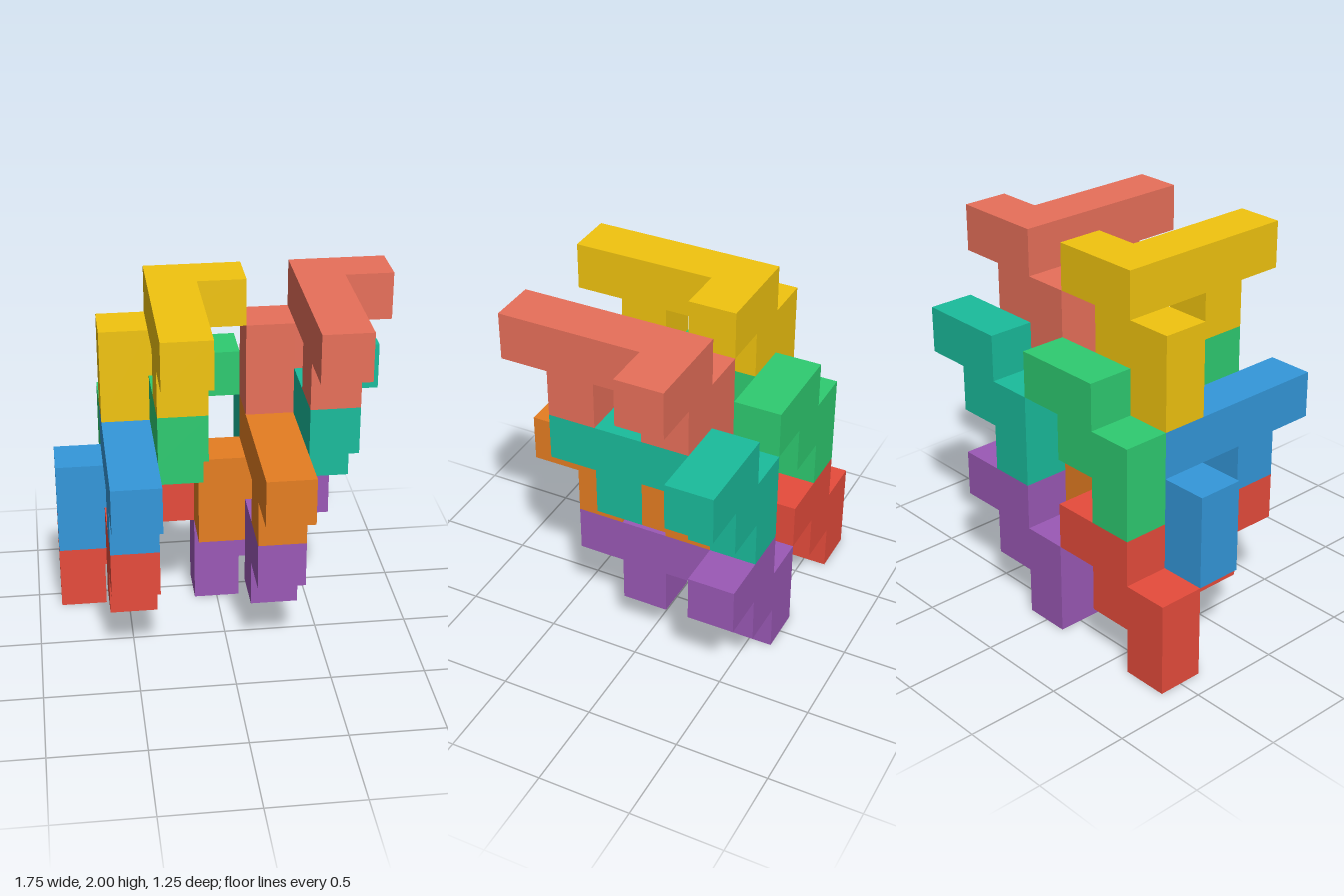
import * as THREE from 'three';

const U = 0.25; // edge of one cube cell

// Extrudes an outline given in cell units by one cell
function slab(outline) {
  const shape = new THREE.Shape(outline.map(([a, b]) => new THREE.Vector2(a * U, b * U)));
  return new THREE.ExtrudeGeometry(shape, { depth: U, bevelEnabled: false });
}

// Stepped back plate: a W-shaped staircase of five cells in the x-y plane
const stepGeometry = slab([
  [0, 0], [1, 0], [1, 1], [2, 1], [2, 2], [3, 2],
  [3, 3], [1, 3], [1, 2], [0, 2],
]);

// Arm reaching forward from the plate, with a foot under its middle cell
const armGeometry = slab([
  [1, 2], [2, 2], [2, 1], [3, 1], [3, 2], [4, 2], [4, 3], [1, 3],
]);
armGeometry.rotateY(-Math.PI / 2).translate(2 * U, 0, 0);

// Every piece has the same form; cell = its lowest back corner
const PIECES = [
  { name: 'redPiece', color: 0xe74c3c, cell: [0, 0, 0] },
  { name: 'bluePiece', color: 0x3498db, cell: [0, 2, 1] },
  { name: 'greenPiece', color: 0x2ecc71, cell: [1, 3, 0] },
  { name: 'yellowPiece', color: 0xf1c40f, cell: [1, 5, 1] },
  { name: 'purplePiece', color: 0x9b59b6, cell: [3, 0, 0] },
  { name: 'orangePiece', color: 0xe67e22, cell: [3, 2, 1] },
  { name: 'tealPiece', color: 0x1abc9c, cell: [4, 3, 0] },
  { name: 'salmonPiece', color: 0xe8705a, cell: [4, 5, 1] },
];

function createPiece({ name, color, cell: [i, j, k] }) {
  const piece = new THREE.Group();
  piece.name = name;
  const material = new THREE.MeshStandardMaterial({ color });
  const plate = new THREE.Mesh(stepGeometry, material);
  plate.name = 'steppedPlate';
  const arm = new THREE.Mesh(armGeometry, material);
  arm.name = 'forwardArm';
  piece.add(plate, arm);
  // The assembly spans 7 x 8 x 5 cells
  piece.position.set((i - 3.5) * U, j * U, (k - 2.5) * U);
  return piece;
}

export function createModel() {
  const model = new THREE.Group();
  model.name = 'interlockingPieces';
  for (const spec of PIECES) model.add(createPiece(spec));
  return model;
}
